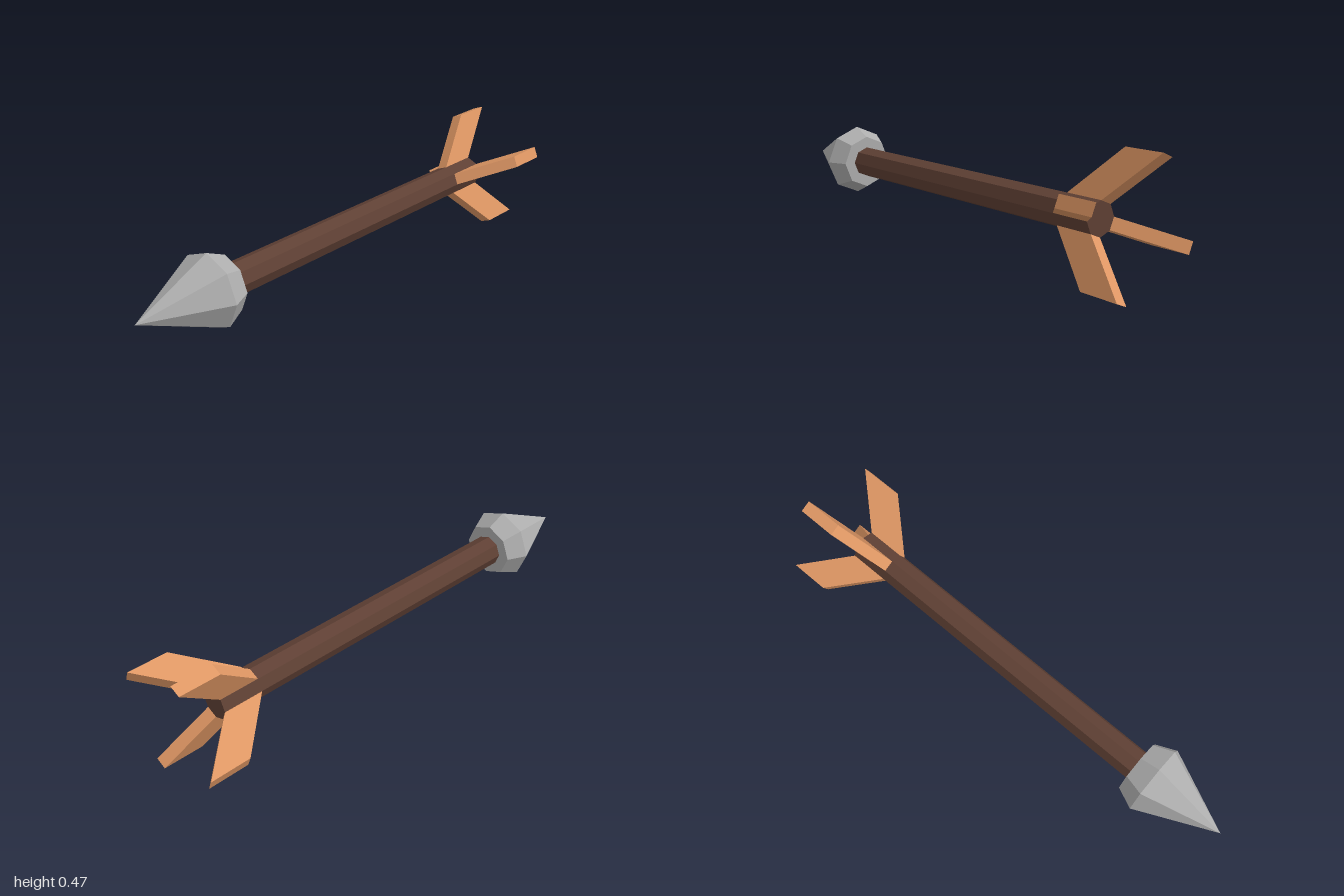
import * as THREE from 'three';

const AXIS_HEIGHT = 0.238;

function material(name, color) {
  const m = new THREE.MeshStandardMaterial({ color, flatShading: true });
  m.name = name;
  return m;
}

// Eight-sided solid turned about the z axis from [radius, z] points
function turned(points) {
  const profile = points.map(([r, z]) => new THREE.Vector2(r, z));
  return new THREE.LatheGeometry(profile, 8).rotateX(Math.PI / 2);
}

// Swept-back plate, with radius along x and length along z
function finGeometry() {
  const inner = 0.058, outer = 0.246, thickness = 0.047;
  const shape = new THREE.Shape([
    new THREE.Vector2(inner, -0.65),
    new THREE.Vector2(outer, -0.84),
    new THREE.Vector2(outer, -1),
    new THREE.Vector2(inner, -0.81),
  ]);
  return new THREE.ExtrudeGeometry(shape, { depth: thickness, bevelEnabled: false })
    .translate(0, 0, -thickness / 2)
    .rotateX(Math.PI / 2);
}

export function createModel() {
  const stone = material('grey stone', 0xadadad);
  const darkWood = material('dark wood', 0x5f4034);
  const lightWood = material('light wood', 0xdf9764);

  const arrow = new THREE.Group();
  arrow.name = 'arrow';

  const add = (name, geometry, mat) => {
    const mesh = new THREE.Mesh(geometry, mat);
    mesh.name = name;
    mesh.position.y = AXIS_HEIGHT;
    arrow.add(mesh);
    return mesh;
  };

  // Pointed head and shaft
  add('head', turned([[0, 0.61], [0.11, 0.61], [0.146, 0.69], [0, 1]]), stone);
  add('shaft', turned([[0, -0.81], [0.063, -0.81], [0.063, 0.61], [0, 0.61]]), darkWood);

  // Four fins seated on alternate faces of the shaft
  const fin = finGeometry();
  for (let i = 0; i < 4; i++) {
    add(`fin${i + 1}`, fin, lightWood).rotation.z = Math.PI / 8 + i * Math.PI / 2;
  }

  return arrow;
}
